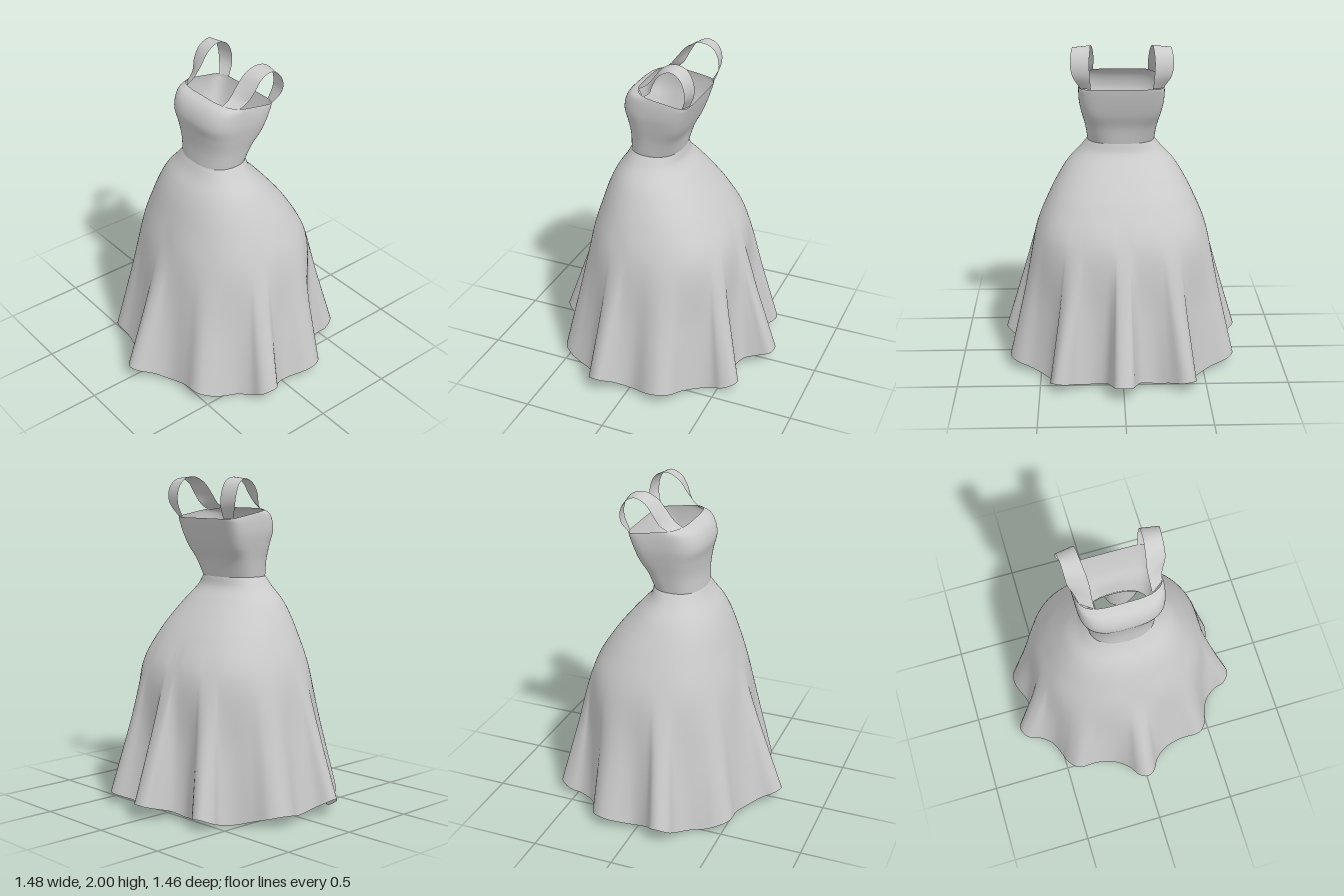
import * as THREE from 'three';

const V = (x, y, z) => new THREE.Vector3(x, y, z);
const COLUMNS = 264;

// Rings: front y, back y, half width, front z, back z, front and back squareness
const WAIST = [1.4, 1.4, 0.203, 0.208, -0.103, 2.4, 2.4];
const BODICE = [
  [1.81, 1.755, 0.25, 0.13, -0.21, 3.5, 8],
  [1.79, 1.74, 0.253, 0.178, -0.207, 3.5, 8],
  [1.75, 1.71, 0.255, 0.212, -0.2, 3.2, 7],
  [1.68, 1.65, 0.252, 0.23, -0.183, 3, 6],
  [1.6, 1.58, 0.238, 0.215, -0.16, 2.8, 5],
  [1.5, 1.5, 0.218, 0.205, -0.125, 2.5, 3.5],
  WAIST,
];
const SKIRT = [
  WAIST,
  [1.34, 1.34, 0.25, 0.24, -0.12, 2.3, 2.3],
  [1.26, 1.26, 0.325, 0.295, -0.19, 2.2, 2.2],
  [1.18, 1.18, 0.378, 0.335, -0.26, 2.2, 2.3],
  [1.05, 1.05, 0.447, 0.38, -0.36, 2.2, 2.4],
  [0.85, 0.85, 0.527, 0.44, -0.47, 2.2, 2.4],
];

// Wavy hem, left half from centre front to centre back
const HEM = [
  [0, 0.085, 0.725], [0.05, 0.075, 0.7], [0.1, 0.045, 0.62], [0.18, 0.02, 0.555],
  [0.3, 0.045, 0.53], [0.4, 0.065, 0.535], [0.445, 0.06, 0.52], [0.49, 0.04, 0.46],
  [0.51, 0.02, 0.4], [0.55, 0.015, 0.31], [0.62, 0.03, 0.255], [0.7, 0.075, 0.235],
  [0.737, 0.105, 0.18], [0.732, 0.1, 0.14], [0.67, 0.06, 0.08], [0.64, 0.03, -0.02],
  [0.69, 0.06, -0.15], [0.692, 0.07, -0.22], [0.65, 0.06, -0.28], [0.55, 0.03, -0.32],
  [0.455, 0.004, -0.39], [0.425, 0.015, -0.47], [0.44, 0.04, -0.54], [0.41, 0.07, -0.61],
  [0.36, 0.065, -0.617], [0.28, 0.04, -0.56], [0.19, 0.025, -0.53], [0.11, 0.045, -0.56],
  [0.07, 0.07, -0.65], [0.05, 0.09, -0.715], [0, 0.095, -0.73],
];

// Point of a rounded-square ring in the direction phi (0 = front)
function ringPoint([yF, yB, a, f, b, nF, nB], phi) {
  const s = Math.sin(phi), c = Math.cos(phi), n = c > 0 ? nF : nB;
  const mid = (f + b) / 2, d = (f - b) / 2;
  const r = (Math.abs(s / a) ** n + Math.abs(c / d) ** n) ** (-1 / n);
  const z = mid + r * c;
  return V(r * s, yB + (yF - yB) * (z - b) / (f - b), z);
}

// Surface through columns of points, optionally closed into a loop
function sheet(name, columns, closed, material) {
  const rows = columns[0].length, count = columns.length, index = [];
  for (let j = 0; j < (closed ? count : count - 1); j++) {
    for (let i = 0; i < rows - 1; i++) {
      const a = j * rows + i, b = ((j + 1) % count) * rows + i;
      index.push(a, a + 1, b, b, a + 1, b + 1);
    }
  }
  const geometry = new THREE.BufferGeometry().setFromPoints(columns.flat());
  geometry.setIndex(index);
  geometry.computeVertexNormals();
  const mesh = new THREE.Mesh(geometry, material);
  mesh.name = name;
  return mesh;
}

const spline = (points, n) => new THREE.CatmullRomCurve3(points).getPoints(n);

// Ribbon strap between its neck edge and its shoulder edge
function strap(name, side, material) {
  const edge = (list) => spline(list.map(([x, y, z]) => V(side * x, y, z)), 40);
  const inner = edge([
    [0.165, 1.805, 0.118], [0.165, 1.84, 0.065], [0.163, 1.9, 0.015], [0.17, 1.965, -0.04],
    [0.18, 1.999, -0.115], [0.185, 1.98, -0.19], [0.19, 1.92, -0.23], [0.187, 1.84, -0.238],
    [0.18, 1.757, -0.208],
  ]);
  const outer = edge([
    [0.237, 1.79, 0.06], [0.255, 1.83, 0.01], [0.28, 1.9, -0.025], [0.285, 1.96, -0.065],
    [0.288, 1.99, -0.13], [0.295, 1.965, -0.185], [0.3, 1.91, -0.215], [0.288, 1.84, -0.218],
    [0.243, 1.76, -0.185],
  ]);
  const columns = [0, 0.25, 0.5, 0.75, 1].map((t) =>
    inner.map((p, i) => p.clone().lerp(outer[i], t)));
  return sheet(name, side > 0 ? columns.reverse() : columns, false, material);
}

export function createModel() {
  const material = new THREE.MeshStandardMaterial({ color: 0xcccccc, side: THREE.DoubleSide });
  const dress = new THREE.Group();
  dress.name = 'dress';

  // Closed hem curve, mirrored to the right side
  const left = HEM.map((p) => V(...p));
  const right = HEM.slice(1, -1).reverse().map(([x, y, z]) => V(-x, y, z));
  const hem = new THREE.CatmullRomCurve3([...left, ...right], true).getSpacedPoints(COLUMNS);
  hem.pop();
  const angles = hem.map((p) => Math.atan2(p.x, p.z));

  // Fitted bodice with a sloping, open top
  const bodice = angles.map((phi) => spline(BODICE.map((r) => ringPoint(r, phi)), 40));
  dress.add(sheet('bodice', bodice, true, material));

  // Full skirt: smooth over the hips, falling into folds at the hem
  const skirt = hem.map((end, j) => {
    const points = SKIRT.map((r) => ringPoint(r, angles[j]));
    const hip = points[points.length - 1];
    return spline([...points, hip.clone().lerp(end, 0.5), end], 56);
  });
  dress.add(sheet('skirt', skirt, true, material));

  // Shoulder straps
  dress.add(strap('leftStrap', 1, material), strap('rightStrap', -1, material));
  return dress;
}
